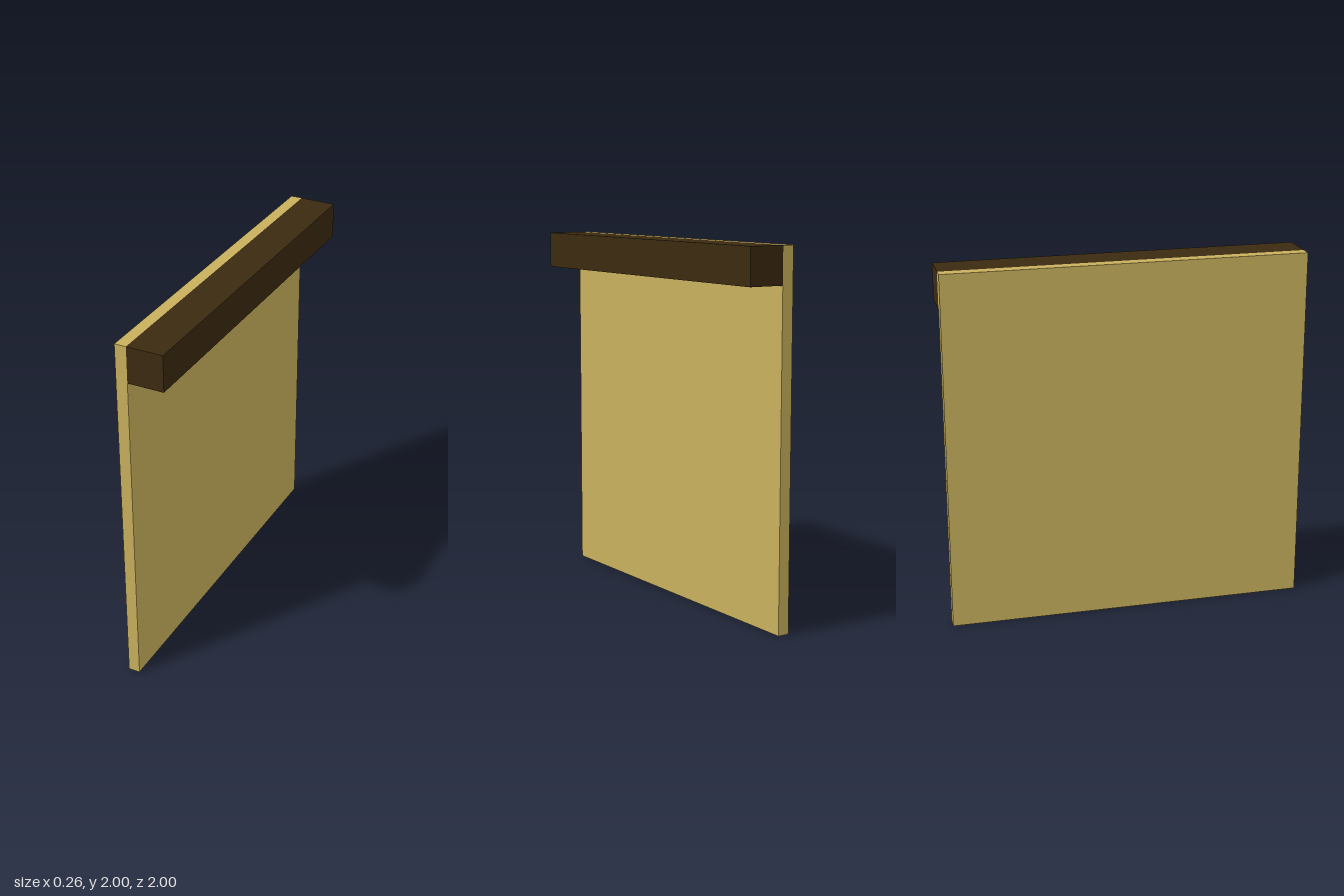
import * as THREE from 'three';

export function createModel() {
  const model = new THREE.Group();
  const tan = new THREE.MeshStandardMaterial({ color: 0xc8b05c });
  tan.name = 'tan panel';
  const darkBrown = new THREE.MeshStandardMaterial({ color: 0x3b2a10 });
  darkBrown.name = 'dark brown wood';

  // Full-depth box spanning the given x and y ranges
  const addBox = (name, x0, x1, y0, y1, material) => {
    const mesh = new THREE.Mesh(new THREE.BoxGeometry(x1 - x0, y1 - y0, 2), material);
    mesh.position.set((x0 + x1) / 2, (y0 + y1) / 2, 0);
    mesh.name = name;
    model.add(mesh);
  };

  // Upright wall panel
  addBox('wallPanel', -0.132, -0.068, 0, 2, tan);
  // Beam along the top edge, on the left side of the panel
  addBox('topBeam', -0.068, 0.132, 1.8, 2, darkBrown);

  return model;
}
